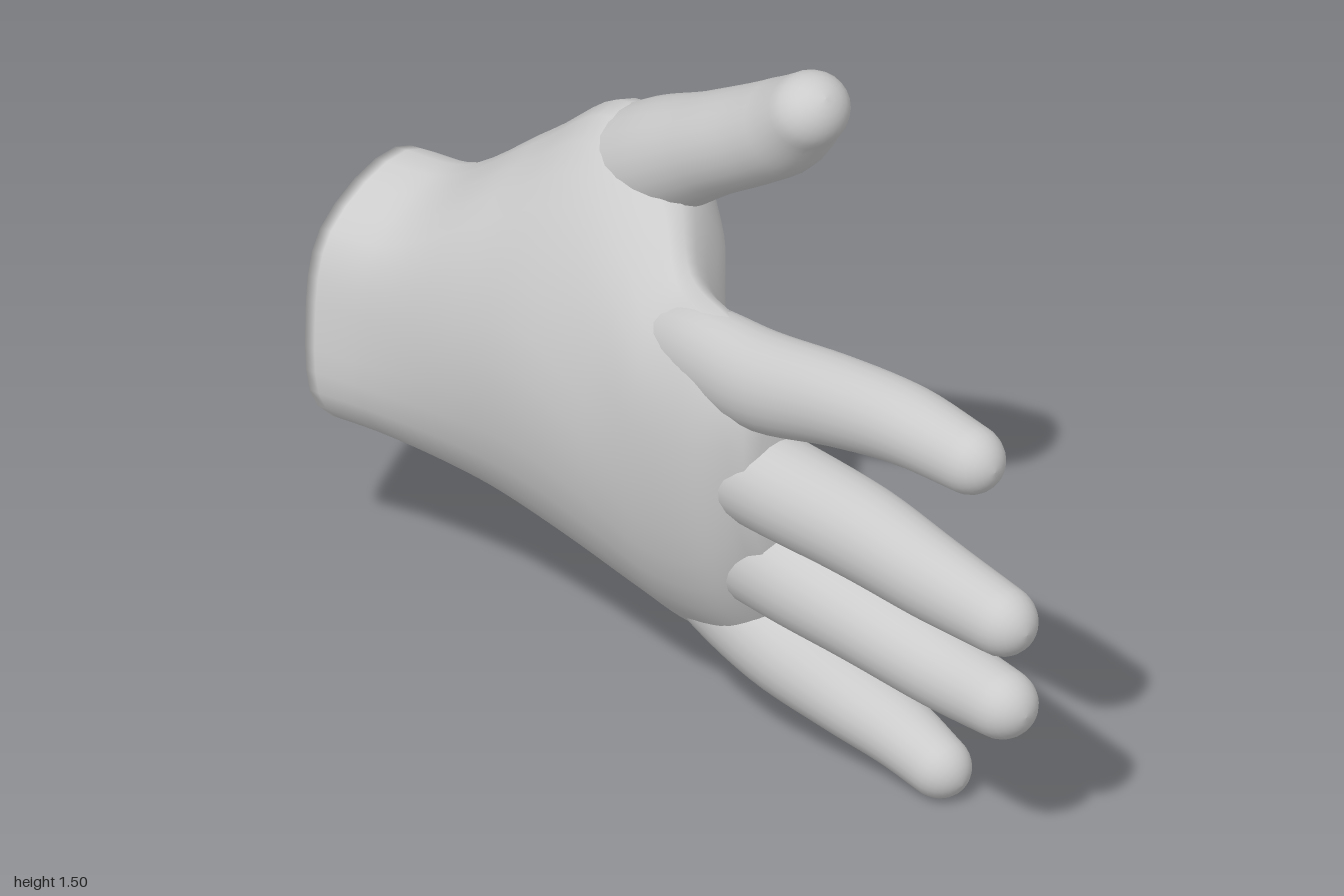
import * as THREE from 'three';

const V = (x, y, z) => new THREE.Vector3(x, y, z);
const SIDES = 32;

// Skin a row of matching rings (counter-clockwise when seen from the far end).
function skin(rings) {
  const n = rings[0].length, pos = [], index = [];
  rings.forEach(r => r.forEach(p => pos.push(p.x, p.y, p.z)));
  for (let i = 0; i < rings.length - 1; i++) {
    for (let j = 0; j < n; j++) {
      const a = i * n + j, b = i * n + (j + 1) % n;
      index.push(a, b, b + n, a, b + n, a + n);
    }
  }
  const g = new THREE.BufferGeometry();
  g.setAttribute('position', new THREE.Float32BufferAttribute(pos, 3));
  g.setIndex(index);
  g.computeVertexNormals();
  return g;
}

// Copy of a ring shrunk towards its centre and pushed along z.
function shrink(ring, scale, dz) {
  const c = ring.reduce((s, p) => s.add(p), V(0, 0, 0)).divideScalar(ring.length);
  return ring.map(p => V(0, 0, dz).add(c.clone().lerp(p, scale)));
}

// Smooth a coarse set of rings around and along.
function refine(coarse, steps) {
  const around = coarse.map(r => {
    const c = new THREE.CatmullRomCurve3(r, true);
    return Array.from({ length: SIDES }, (_, i) => c.getPoint(i / SIDES));
  });
  const columns = around[0].map((_, j) =>
    new THREE.CatmullRomCurve3(around.map(r => r[j])).getPoints(steps));
  return Array.from({ length: steps + 1 }, (_, i) => columns.map(c => c[i]));
}

// Palm sections: z, bottom y, top y, then x at
// bottom, palm low / mid / high, top, back high / mid / low
const PALM = [
  [-1.00, 0.32, 0.90, -0.06, 0.15, 0.19, 0.14, 0.00, -0.22, -0.28, -0.265],
  [-0.84, 0.30, 0.91, -0.02, 0.19, 0.20, 0.18, 0.04, -0.18, -0.24, -0.22],
  [-0.62, 0.24, 1.07, 0.05, 0.24, 0.235, 0.27, 0.08, -0.13, -0.22, -0.17],
  [-0.42, 0.19, 1.21, 0.06, 0.22, 0.17, 0.275, 0.10, -0.09, -0.22, -0.16],
  [-0.22, 0.165, 1.11, 0.04, 0.18, 0.10, 0.18, 0.05, -0.14, -0.22, -0.15],
  [-0.08, 0.15, 1.01, 0.03, 0.13, 0.07, 0.05, -0.05, -0.19, -0.22, -0.14],
  [0.08, 0.18, 1.00, 0.01, 0.08, 0.04, 0.00, -0.10, -0.20, -0.21, -0.13],
  [0.18, 0.35, 0.97, -0.03, 0.04, 0.01, -0.03, -0.10, -0.18, -0.18, -0.12],
];
const HEIGHTS = [0, 0.17, 0.5, 0.83, 1, 0.83, 0.5, 0.17];

// Digit stations from buried root to tip: x, y, z, half width in x, half height
const DIGITS = {
  thumb: [
    [0.11, 0.86, -0.68, 0.08, 0.09], [0.11, 1.00, -0.50, 0.13, 0.125],
    [0.105, 1.13, -0.31, 0.125, 0.122], [0.10, 1.22, -0.165, 0.112, 0.108],
    [0.105, 1.34, 0.03, 0.108, 0.102], [0.09, 1.422, 0.12, 0.09, 0.082]],
  indexFinger: [
    [-0.09, 0.84, -0.20, 0.05, 0.07], [-0.10, 0.885, 0.02, 0.085, 0.105],
    [-0.11, 0.90, 0.20, 0.095, 0.108], [-0.11, 0.946, 0.42, 0.09, 0.096],
    [-0.11, 0.975, 0.62, 0.085, 0.085], [-0.115, 0.977, 0.81, 0.072, 0.074]],
  middleFinger: [
    [-0.08, 0.66, -0.16, 0.06, 0.09], [-0.085, 0.655, 0.04, 0.10, 0.108],
    [-0.09, 0.655, 0.22, 0.105, 0.107], [-0.10, 0.66, 0.48, 0.098, 0.102],
    [-0.12, 0.655, 0.72, 0.085, 0.09], [-0.13, 0.65, 0.92, 0.073, 0.075]],
  ringFinger: [
    [-0.05, 0.47, -0.16, 0.06, 0.09], [-0.055, 0.445, 0.04, 0.09, 0.108],
    [-0.05, 0.43, 0.22, 0.098, 0.106], [-0.03, 0.40, 0.42, 0.095, 0.095],
    [-0.02, 0.37, 0.64, 0.085, 0.084], [-0.03, 0.37, 0.815, 0.075, 0.074]],
  littleFinger: [
    [0.03, 0.34, -0.30, 0.05, 0.06], [-0.005, 0.272, -0.05, 0.085, 0.10],
    [0.00, 0.215, 0.13, 0.097, 0.10], [0.03, 0.15, 0.30, 0.087, 0.085],
    [0.055, 0.105, 0.43, 0.078, 0.075], [0.06, 0.07, 0.535, 0.067, 0.067]],
};

// Oval tube along a curved spine, ending in a rounded tip.
function digitGeometry(stations) {
  const spine = new THREE.CatmullRomCurve3(stations.map(s => V(s[0], s[1], s[2])));
  const size = new THREE.CatmullRomCurve3(stations.map(s => V(s[3], s[4], 0)));
  const ring = (c, d, rx, ry) => {
    const side = V(1, 0, 0).addScaledVector(d, -d.x).normalize();
    const up = d.clone().cross(side);
    return Array.from({ length: 24 }, (_, i) => {
      const a = i / 24 * Math.PI * 2;
      return c.clone().addScaledVector(side, Math.cos(a) * rx).addScaledVector(up, Math.sin(a) * ry);
    });
  };
  const rings = [];
  for (let i = 0; i <= 25; i++) {
    const s = size.getPoint(i / 25);
    rings.push(ring(spine.getPoint(i / 25), spine.getTangent(i / 25), s.x, s.y));
  }
  const end = spine.getPoint(1), dir = spine.getTangent(1), r = size.getPoint(1);
  for (let i = 1; i <= 7; i++) {
    const a = i / 7 * Math.PI / 2, k = Math.max(Math.cos(a), 0.001);
    rings.push(ring(end.clone().addScaledVector(dir, Math.sin(a) * r.y * 1.08), dir, r.x * k, r.y * k));
  }
  return skin(rings);
}

export function createModel() {
  const hand = new THREE.Group();
  hand.name = 'hand';
  const material = new THREE.MeshStandardMaterial({ color: 0xcccccc });
  const add = (name, geometry) => {
    const mesh = new THREE.Mesh(geometry, material);
    mesh.name = name;
    hand.add(mesh);
  };

  // Palm, with a slanted wrist end and rounded webs between the fingers
  const sections = PALM.map(([z, y0, y1, ...xs], s) => xs.map((x, i) => {
    const y = y0 + (y1 - y0) * HEIGHTS[i];
    const slant = s === 0 ? 0.1 * (0.9 - y) + 0.1 * Math.max(0, x) : 0;
    return V(x, y, z + slant);
  }));
  const rings = refine(sections, 42);
  const wrist = rings[0], knuckles = rings[rings.length - 1];
  add('palm', skin([
    shrink(wrist, 0.001, 0), ...rings,
    shrink(knuckles, 0.88, 0.03), shrink(knuckles, 0.6, 0.045), shrink(knuckles, 0.001, 0.05),
  ]));

  // Thumb and fingers
  for (const [name, stations] of Object.entries(DIGITS)) add(name, digitGeometry(stations));
  return hand;
}
